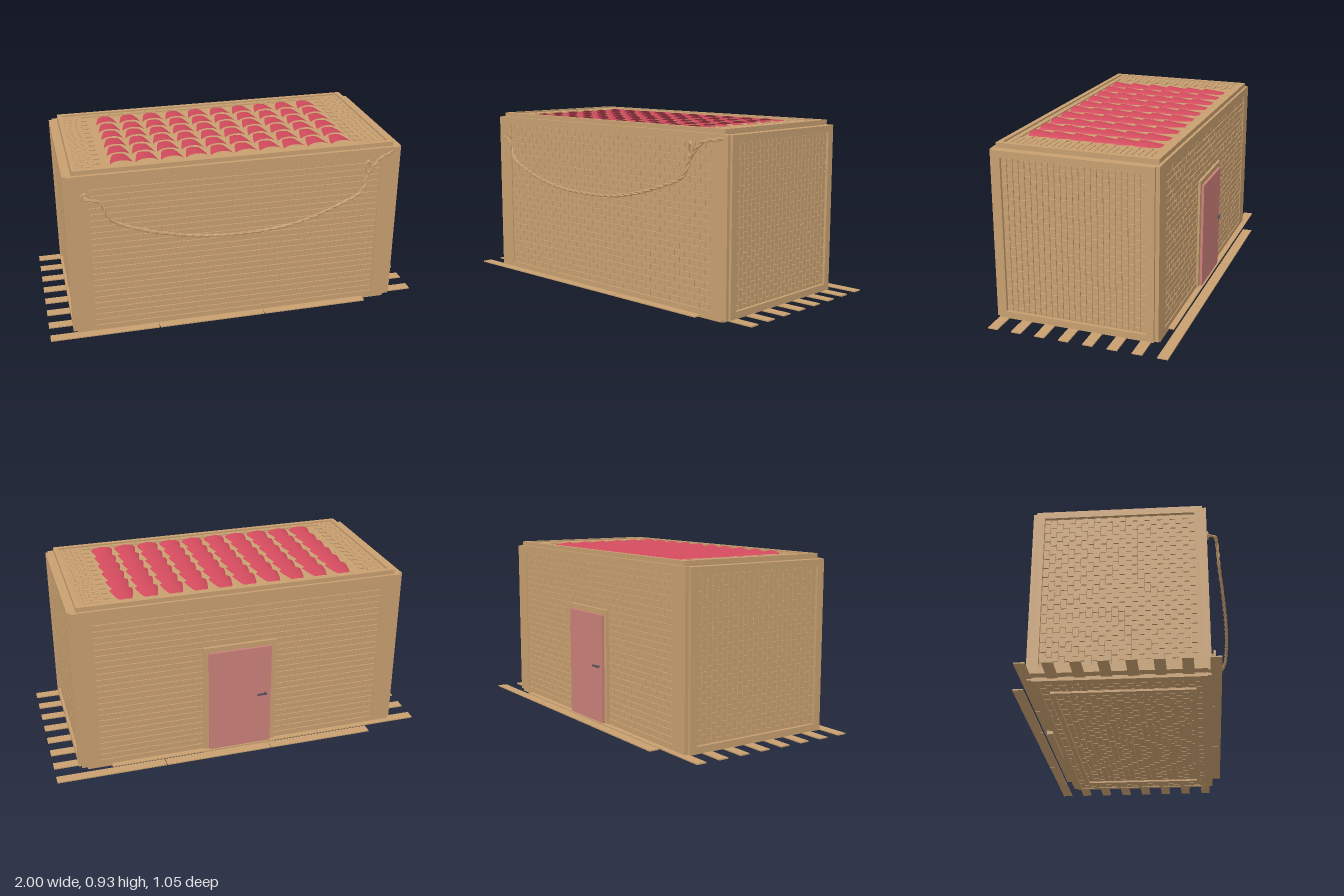
import * as THREE from 'three';
import { mergeGeometries } from 'three/addons/utils/BufferGeometryUtils.js';

const mat = (color) => new THREE.MeshStandardMaterial({ color, side: THREE.DoubleSide });
const tan = mat(0xc8a070), red = mat(0xd04a5c), pink = mat(0xcc8079), dark = mat(0x55505a);

function add(parent, name, geometry, material = tan, x = 0, y = 0, z = 0) {
  const mesh = new THREE.Mesh(geometry, material);
  mesh.name = name;
  mesh.position.set(x, y, z);
  parent.add(mesh);
  return mesh;
}

const box = (w, h, d, x = 0, y = 0, z = 0) => new THREE.BoxGeometry(w, h, d).translate(x, y, z);

// Rectangular ring in XY whose front face lies at z = 0
function ring(w, h, bx, by, depth) {
  const shape = new THREE.Shape();
  shape.moveTo(-w / 2, -h / 2).lineTo(w / 2, -h / 2).lineTo(w / 2, h / 2).lineTo(-w / 2, h / 2);
  const hole = new THREE.Path(), a = w / 2 - bx, b = h / 2 - by;
  hole.moveTo(-a, -b).lineTo(-a, b).lineTo(a, b).lineTo(a, -b);
  shape.holes.push(hole);
  return new THREE.ExtrudeGeometry(shape, { depth, bevelEnabled: false }).translate(0, 0, -depth);
}

// Framed panel of staggered bricks facing +z
function brickPanel(name, { w, h, bx, by, depth, recess, rows, length, skip = () => false }) {
  const g = new THREE.Group();
  g.name = name;
  add(g, 'frame', ring(w, h, bx, by, depth));
  const iw = w - 2 * bx, ih = h - 2 * by, course = ih / rows, gap = 0.004;
  const back = recess + 0.007;
  add(g, 'mortar', box(iw, ih, depth - back, 0, 0, -(depth + back) / 2));
  const bricks = [];
  for (let r = 0; r < rows; r++) {
    const y = -ih / 2 + (r + 0.5) * course;
    for (let x = -iw / 2 - (r % 2) * length / 2; x < iw / 2 - 0.005; x += length) {
      const x0 = Math.max(x, -iw / 2), x1 = Math.min(x + length, iw / 2), c = (x0 + x1) / 2;
      if (x1 - x0 > 0.008 && !skip(c, y)) {
        bricks.push(box(x1 - x0 - gap, course - gap, 0.009, c, y, -recess - 0.0045));
      }
    }
  }
  add(g, 'bricks', mergeGeometries(bricks));
  return g;
}

function place(parent, panel, x, y, z, rx, ry, rz) {
  panel.position.set(x, y, z);
  panel.rotation.set(rx, ry, rz, 'YXZ');
  parent.add(panel);
}

function addWalls(root) {
  const long = { w: 1.66, h: 0.89, bx: 0.07, by: 0.042, depth: 0.04, recess: 0.003, rows: 24, length: 0.066 };
  place(root, brickPanel('frontWall', long), 0, 0.462, 0.418, 0, 0, 0);
  place(root, brickPanel('backWall', long), 0, 0.462, -0.434, 0, Math.PI, 0);
  // End walls have their courses standing upright
  const end = { w: 0.875, h: 0.815, bx: 0.036, by: 0.04, depth: 0.045, recess: 0.012, rows: 24, length: 0.05 };
  place(root, brickPanel('leftWall', end), 0.874, 0.467, -0.007, 0, Math.PI / 2, Math.PI / 2);
  place(root, brickPanel('rightWall', end), -0.878, 0.467, -0.007, 0, -Math.PI / 2, Math.PI / 2);
  // Posts filling the outer corners
  for (const x of [-0.845, 0.845]) {
    add(root, 'cornerPost', box(0.03, 0.875, 0.018), tan, x, 0.467, 0.409);
    add(root, 'cornerPost', box(0.03, 0.875, 0.02), tan, x, 0.467, -0.424);
  }
}

function addRoof(root) {
  const skip = (x, y) => Math.abs(x) < 0.68 && Math.abs(y - 0.005) < 0.35;
  const roof = brickPanel('roof', {
    w: 1.66, h: 0.82, bx: 0.025, by: 0.025, depth: 0.055, recess: 0.008, rows: 25, length: 0.066, skip,
  });
  place(root, roof, 0, 0.93, -0.01, -Math.PI / 2, 0, 0);
  const curb = add(root, 'tileCurb', ring(1.37, 0.71, 0.04, 0.02, 0.02), tan, 0, 0.916, -0.015);
  curb.rotation.x = -Math.PI / 2;

  // Overlapping barrel tiles, each lifted at its front end
  const tiles = [], pitch = 0.128, rows = 6, step = 0.67 / rows;
  for (let c = 0; c < 10; c++) {
    for (let r = 0; r < rows; r++) {
      tiles.push(new THREE.CylinderGeometry(0.064, 0.056, step + 0.012, 12, 1, true, Math.PI / 2, Math.PI)
        .rotateX(Math.PI / 2)
        .scale(1, 0.45, 1)
        .rotateX(-0.08)
        .translate((c - 4.5) * pitch, 0.899, -0.35 + (r + 0.5) * step));
    }
  }
  add(root, 'roofTiles', mergeGeometries(tiles), red);
}

function addFloor(root) {
  const base = brickPanel('base', {
    w: 1.66, h: 0.81, bx: 0.025, by: 0.025, depth: 0.03, recess: 0.002, rows: 24, length: 0.066,
  });
  place(root, base, 0, 0.012, -0.007, Math.PI / 2, 0, 0);
  const rail = add(root, 'baseRail', ring(1.4, 0.69, 0.025, 0.02, 0.012), tan, 0, 0.004, 0);
  rail.rotation.x = Math.PI / 2;

  // Planks in rows shifted alternately to either end
  const planks = [];
  for (let r = 0; r < 16; r++) {
    const start = r % 2 ? -1 : -0.71;
    for (let i = 0; i < 3; i++) {
      planks.push(box(0.566, 0.006, 0.052, start + 0.285 + i * 0.57 + (r % 2 ? -0.002 : 0.002), 0.028, -0.5 + r * 0.0625));
    }
  }
  add(root, 'floorPlanks', mergeGeometries(planks));
}

function addDoor(root) {
  const door = new THREE.Group();
  door.name = 'door';
  root.add(door);
  const frame = add(door, 'doorFrame', ring(0.39, 0.63, 0.03, 0.03, 0.03), tan, 0.015, 0.315, -0.443);
  frame.rotation.y = Math.PI;
  add(door, 'doorLeaf', box(0.335, 0.575, 0.02), pink, 0.015, 0.315, -0.446);
  const stem = new THREE.CylinderGeometry(0.006, 0.006, 0.018, 10).rotateX(Math.PI / 2);
  add(door, 'handleStem', stem, dark, -0.12, 0.33, -0.463);
  add(door, 'handleLever', box(0.05, 0.009, 0.006), dark, -0.1, 0.33, -0.469);
}

function addRope(root) {
  const rope = new THREE.Group();
  rope.name = 'rope';
  root.add(rope);
  const path = new THREE.CatmullRomCurve3([
    [-0.775, 0.797, 0.415], [-0.765, 0.797, 0.455], [-0.71, 0.785, 0.468], [-0.66, 0.69, 0.475],
    [-0.5, 0.622, 0.492], [-0.25, 0.57, 0.51], [0, 0.556, 0.515], [0.25, 0.573, 0.51],
    [0.5, 0.64, 0.49], [0.64, 0.705, 0.475], [0.665, 0.78, 0.465], [0.685, 0.81, 0.462],
    [0.74, 0.868, 0.455], [0.8, 0.882, 0.435], [0.84, 0.887, 0.40],
  ].map((p) => new THREE.Vector3(...p)));
  // Two strands twisted around the path
  const count = 240;
  const frames = path.computeFrenetFrames(count);
  for (const phase of [0, Math.PI]) {
    const points = [];
    for (let i = 0; i <= count; i++) {
      const a = i * 0.55 + phase;
      points.push(path.getPointAt(i / count)
        .addScaledVector(frames.normals[i], Math.cos(a) * 0.004)
        .addScaledVector(frames.binormals[i], Math.sin(a) * 0.004));
    }
    add(rope, 'strand', new THREE.TubeGeometry(new THREE.CatmullRomCurve3(points), 480, 0.0055, 6));
  }
  // Knot near the upper end
  const knot = add(rope, 'knot', new THREE.TorusGeometry(0.025, 0.008, 8, 20), tan, 0.672, 0.828, 0.463);
  knot.scale.set(0.5, 1.3, 1);
  // Wall eyes that hold both ends
  for (const [x, y, z] of [[-0.775, 0.797, 0.422], [0.84, 0.887, 0.405]]) {
    add(rope, 'wallEye', new THREE.TorusGeometry(0.017, 0.005, 8, 20), tan, x, y, z);
  }
}

export function createModel() {
  const root = new THREE.Group();
  root.name = 'brickShed';
  addWalls(root);
  addRoof(root);
  addFloor(root);
  addDoor(root);
  addRope(root);
  return root;
}
